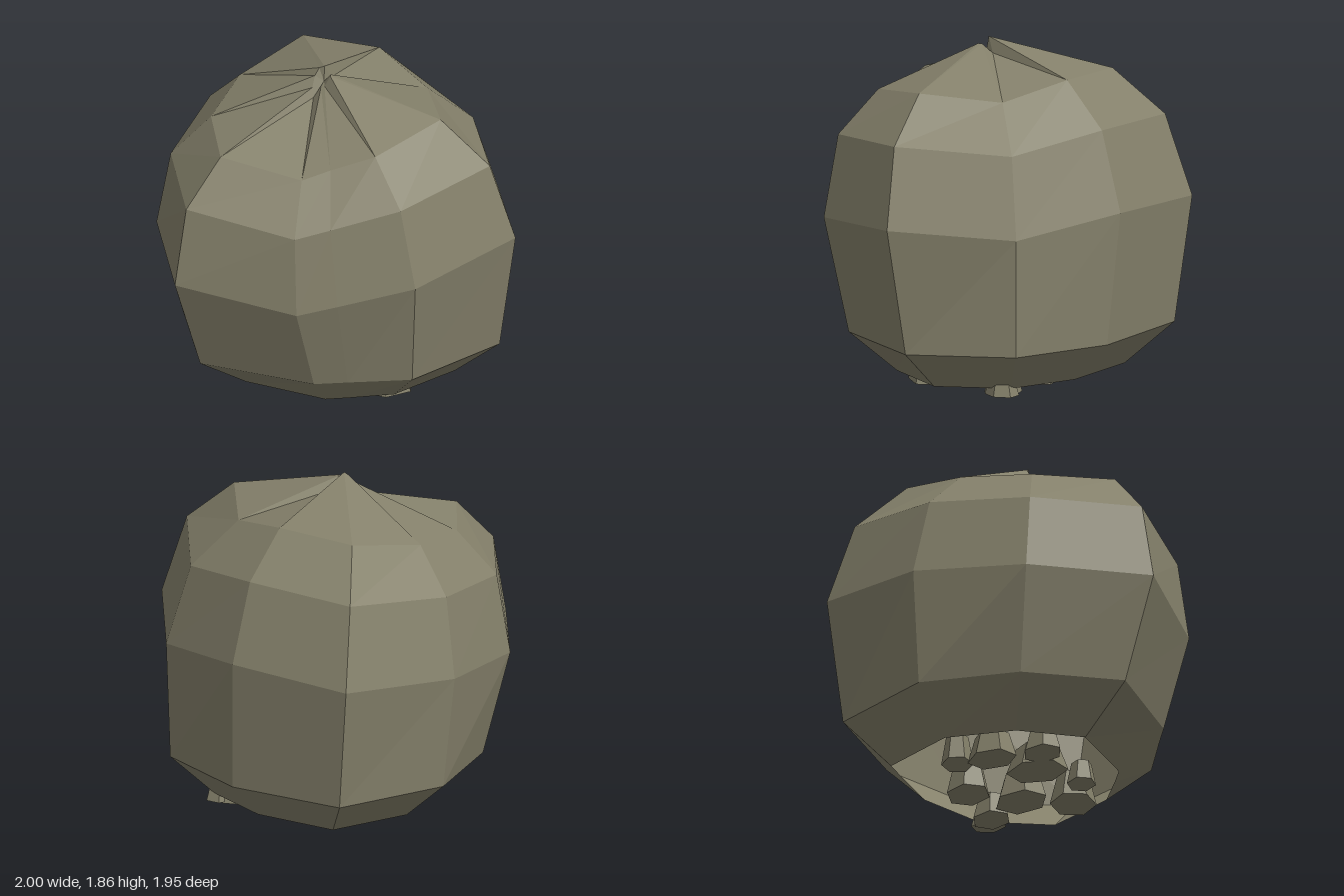
import * as THREE from 'three';

const stone = new THREE.MeshStandardMaterial({ color: 0x85816b, flatShading: true, side: THREE.DoubleSide });
stone.name = 'olive stone';

// Cross-sections from the open base to the shoulder, [x, y, z], running round from the front towards +x
const rings = [
  [[0, .05, .57], [.13, .05, .53], [.36, .05, .45], [.64, .05, .13], [.54, .05, -.28],
    [.22, .05, -.53], [-.24, .05, -.65], [-.56, .05, -.31], [-.6, .05, .09], [-.46, .05, .45]],
  [[-.02, .28, .82], [.16, .28, .77], [.5, .28, .68], [.9, .28, .2], [.76, .28, -.39],
    [.3, .28, -.75], [-.35, .28, -.9], [-.8, .28, -.42], [-.86, .28, .15], [-.67, .28, .7]],
  [[-.09, .78, .97], [.13, .83, .92], [.54, .92, .81], [1, .99, .27], [.78, .94, -.4],
    [.28, 1.02, -.82], [-.41, .98, -.98], [-.87, .92, -.44], [-1, .86, .2], [-.78, .85, .87]],
  [[-.11, 1.22, .91], [.08, 1.27, .86], [.45, 1.37, .76], [.86, 1.43, .28], [.66, 1.38, -.33],
    [.22, 1.46, -.69], [-.39, 1.43, -.83], [-.8, 1.36, -.36], [-.92, 1.3, .21], [-.73, 1.29, .8]],
  [[-.11, 1.47, .69], [.04, 1.52, .64], [.28, 1.6, .59], [.58, 1.67, .24], [.43, 1.62, -.19],
    [.12, 1.7, -.45], [-.32, 1.68, -.55], [-.61, 1.59, -.21], [-.7, 1.54, .19], [-.57, 1.54, .63]],
];

// Inner ends of the gathered top, one per sector between two columns
const gather = [[-.1, 1.75, .14], [-.08, 1.76, .14], [-.05, 1.82, .13], [-.05, 1.82, .11], [-.06, 1.77, .05],
  [-.09, 1.855, .085], [-.12, 1.84, .08], [-.14, 1.8, .1], [-.15, 1.74, .13], [-.14, 1.69, .15]];

function facetMesh(name, triangles) {
  const geometry = new THREE.BufferGeometry();
  geometry.setAttribute('position', new THREE.Float32BufferAttribute(triangles.flat(2), 3));
  geometry.computeVertexNormals();
  const mesh = new THREE.Mesh(geometry, stone);
  mesh.name = name;
  return mesh;
}

function createBody() {
  const triangles = [];
  for (let i = 0; i < rings.length - 1; i++) {
    const low = rings[i], high = rings[i + 1];
    low.forEach((a, k) => {
      const n = (k + 1) % low.length;
      triangles.push([a, low[n], high[n]], [a, high[n], high[k]]);
    });
  }
  return facetMesh('body', triangles);
}

function createPleatedTop() {
  const rim = rings[rings.length - 1], count = rim.length;
  const centre = [-.09, 1.77, .1];
  const triangles = [];
  rim.forEach((p, k) => {
    const next = (k + 1) % count, previous = (k + count - 1) % count;
    triangles.push([p, rim[next], gather[k]], [p, gather[k], gather[previous]], [gather[k], gather[next], centre]);
  });
  return facetMesh('pleatedTop', triangles);
}

// Small chips in the open base: x, z, radius, height, turn
const chips = [
  [.28, .28, .16, .16, .2], [.23, 0, .17, .15, .7], [-.13, .14, .18, .14, 1.1], [.08, -.27, .15, .16, .4],
  [-.34, -.08, .15, .14, .9], [-.28, -.28, .11, .16, .1], [.42, -.19, .13, .13, .5], [.52, -.22, .1, .1, 1.3],
  [-.36, .2, .13, .12, .6], [.03, .36, .1, .12, .3],
];

export function createModel() {
  const group = new THREE.Group();
  group.name = 'gatheredBoulder';
  group.add(createBody(), createPleatedTop());

  const base = new THREE.Group();
  base.name = 'baseChips';
  chips.forEach(([x, z, radius, height, turn], i) => {
    const chip = new THREE.Mesh(new THREE.CylinderGeometry(radius * .7, radius, height, 6), stone);
    chip.name = 'chip' + (i + 1);
    chip.scale.z = .8;
    chip.rotation.y = turn;
    const lift = (i % 3) * .008;
    chip.position.set(x, height / 2 + lift, z);
    base.add(chip);
  });
  group.add(base);
  return group;
}
